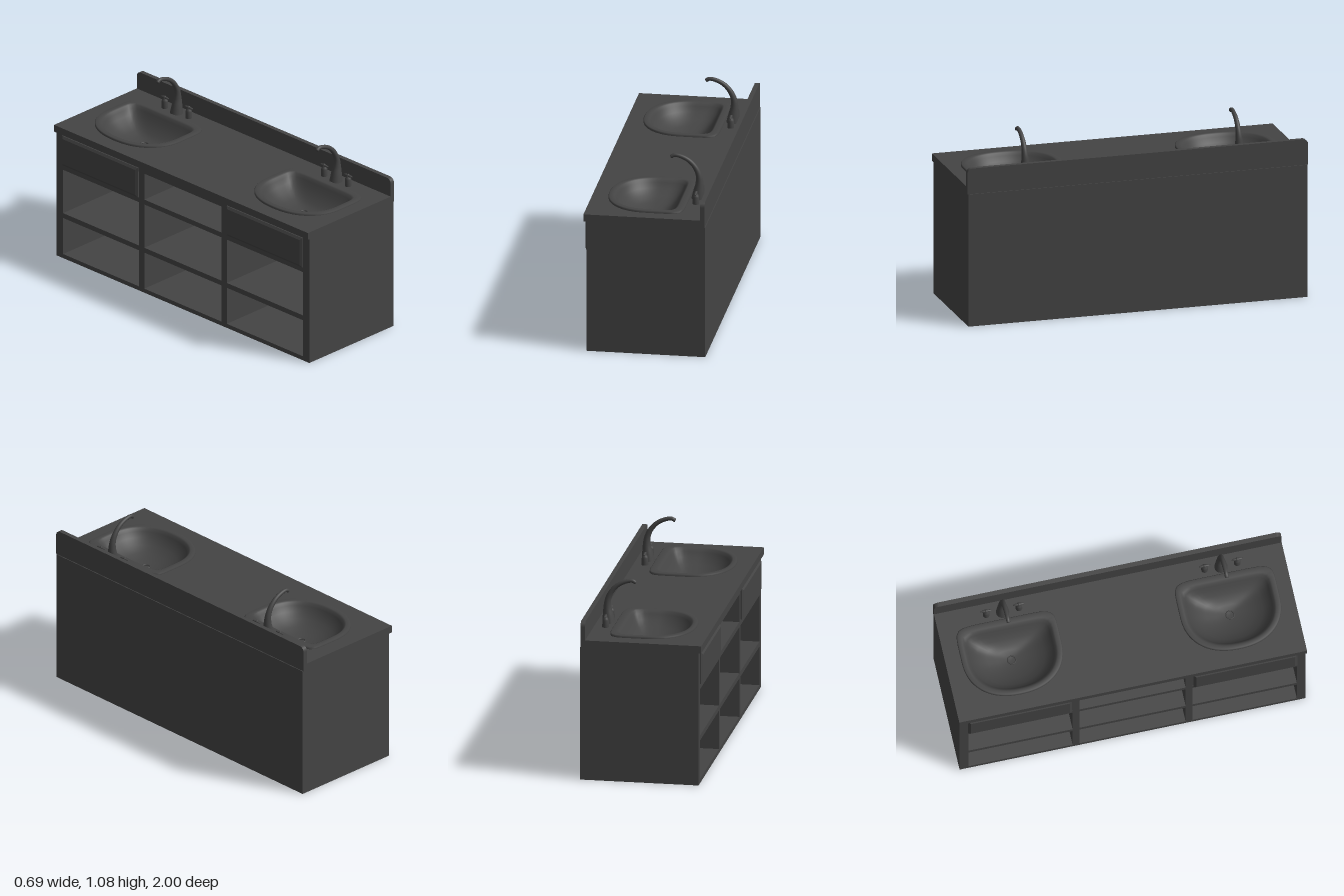
import * as THREE from 'three';

const material = new THREE.MeshStandardMaterial({ color: 0x444444 });
const thinMaterial = new THREE.MeshStandardMaterial({ color: 0x444444, side: THREE.DoubleSide });

function add(parent, name, geometry, mat = material) {
  const mesh = new THREE.Mesh(geometry, mat);
  mesh.name = name;
  parent.add(mesh);
  return mesh;
}

// Box given by its limits on each axis
function addBox(parent, name, x0, x1, y0, y1, z0, z1) {
  const mesh = add(parent, name, new THREE.BoxGeometry(x1 - x0, y1 - y0, z1 - z0));
  mesh.position.set((x0 + x1) / 2, (y0 + y1) / 2, (z0 + z1) / 2);
}

// Smooth skin through rings of equal point count
function loft(rings) {
  const n = rings[0].length;
  const index = [];
  for (let i = 0; i < rings.length - 1; i++) {
    for (let j = 0; j < n; j++) {
      const k = (j + 1) % n, a = i * n, b = a + n;
      index.push(a + j, a + k, b + k, a + j, b + k, b + j);
    }
  }
  const geometry = new THREE.BufferGeometry().setFromPoints(rings.flat());
  geometry.setIndex(index);
  geometry.computeVertexNormals();
  return geometry;
}

// D-shaped outline: rounded towards -x, nearly square towards +x
function dOutline(front, back, half, y, square = 1, count = 72) {
  return Array.from({ length: count }, (_, i) => {
    const t = (i / count) * Math.PI * 2, c = Math.cos(t), s = Math.sin(t);
    const n = c > 0 ? 2 + 6 * square : 2 + 0.25 * square;
    const a = c > 0 ? back : front;
    const r = (Math.abs(c / a) ** n + Math.abs(s / half) ** n) ** (-1 / n);
    return new THREE.Vector3(r * c, y, -r * s);
  });
}

function makeCabinet() {
  const g = new THREE.Group();
  g.name = 'cabinet';
  const F = -0.33, B = 0.346, E = 0.995;
  addBox(g, 'backPanel', 0.325, B, 0, 0.775, -E, E);
  addBox(g, 'bottomPanel', F, B, 0, 0.025, -E, E);
  addBox(g, 'topRail', F, F + 0.03, 0.742, 0.775, -E, E);
  addBox(g, 'lowerShelf', F, B - 0.01, 0.25, 0.28, -E + 0.01, E - 0.01);
  addBox(g, 'upperShelf', F, B - 0.01, 0.55, 0.58, -E + 0.01, E - 0.01);
  for (const s of [-1, 1]) {
    const wall = (name, z, w) => addBox(g, name, F, B, 0, 0.775, s * z - w / 2, s * z + w / 2);
    wall('sidePanel', E - 0.025, 0.05);
    wall('divider', 0.325, 0.04);

    // Drawer with a chamfered front
    addBox(g, 'drawerBacking', F + 0.002, F + 0.03, 0.57, 0.75, s * 0.65 - 0.32, s * 0.65 + 0.32);
    const w = 0.284, shape = new THREE.Shape([
      new THREE.Vector2(-w, 0.595), new THREE.Vector2(w, 0.595),
      new THREE.Vector2(w, 0.75), new THREE.Vector2(-w, 0.75)]);
    const front = new THREE.ExtrudeGeometry(shape, {
      depth: 0.008, bevelThickness: 0.009, bevelSize: 0.014, bevelSegments: 1 });
    front.rotateY(-Math.PI / 2);
    add(g, 'drawerFront', front).position.set(F + 0.002, 0, s * 0.648);
  }
  return g;
}

function makeCountertop(sinkZ) {
  const g = new THREE.Group();
  g.name = 'countertop';
  const slab = new THREE.Shape([
    new THREE.Vector2(-0.346, -1), new THREE.Vector2(0.341, -1),
    new THREE.Vector2(0.341, 1), new THREE.Vector2(-0.346, 1)]);
  for (const z of sinkZ) {
    const hole = dOutline(0.24, 0.185, 0.272, 0).map(p => new THREE.Vector2(p.x, p.z + z));
    slab.holes.push(new THREE.Path(hole));
  }
  const top = new THREE.ExtrudeGeometry(slab, { depth: 0.042, bevelEnabled: false });
  top.rotateX(Math.PI / 2);
  add(g, 'counterSlab', top).position.y = 0.817;

  // Backsplash with rounded upper corners
  const r = 0.03, h = 0.925, s = new THREE.Shape();
  s.moveTo(-1, 0.777).lineTo(1, 0.777).lineTo(1, h - r);
  s.absarc(1 - r, h - r, r, 0, Math.PI / 2);
  s.absarc(-1 + r, h - r, r, Math.PI / 2, Math.PI);
  const splash = new THREE.ExtrudeGeometry(s, { depth: 0.026, bevelEnabled: false });
  splash.rotateY(-Math.PI / 2);
  add(g, 'backsplash', splash).position.x = 0.343;
  return g;
}

function makeSink() {
  const g = new THREE.Group();
  g.name = 'sink';
  // front reach, back reach, half width, height, squareness
  const rings = [
    [0.255, 0.204, 0.287, 0.816, 1], [0.255, 0.204, 0.287, 0.825, 1],
    [0.25, 0.199, 0.282, 0.83, 1], [0.23, 0.168, 0.26, 0.83, 1],
    [0.22, 0.158, 0.25, 0.825, 1], [0.21, 0.148, 0.238, 0.808, 1],
    [0.195, 0.132, 0.22, 0.78, 0.9], [0.165, 0.108, 0.185, 0.75, 0.7],
    [0.12, 0.08, 0.135, 0.725, 0.5], [0.07, 0.055, 0.08, 0.71, 0.2],
    [0.025, 0.025, 0.025, 0.704, 0], [0.0005, 0.0005, 0.0005, 0.703, 0]];
  add(g, 'basin', loft(rings.map(r => dOutline(...r))), thinMaterial);
  const ring = add(g, 'drainRing', new THREE.TorusGeometry(0.023, 0.004, 8, 32));
  ring.rotation.x = Math.PI / 2;
  ring.position.set(-0.004, 0.706, 0);
  return g;
}

function makeFaucet() {
  const g = new THREE.Group();
  g.name = 'faucet';
  // Spout: tapering round section swept along an arc; x, y, radius
  const path = [
    [0.249, 0.815, 0.038], [0.253, 0.86, 0.031], [0.257, 0.905, 0.023],
    [0.254, 0.95, 0.018], [0.236, 0.995, 0.015], [0.2, 1.036, 0.013],
    [0.155, 1.06, 0.012], [0.115, 1.067, 0.011], [0.097, 1.058, 0.011]];
  const curve = new THREE.CatmullRomCurve3(path.map(p => new THREE.Vector3(...p)));
  const steps = 40, sides = 20, rings = [];
  const section = (p, t, r) => Array.from({ length: sides }, (_, j) => {
    const a = (j / sides) * Math.PI * 2;
    return new THREE.Vector3(p.x - t.y * r * Math.cos(a), p.y + t.x * r * Math.cos(a), r * Math.sin(a));
  });
  for (let i = 0; i <= steps; i++) {
    const p = curve.getPoint(i / steps), t = curve.getTangent(i / steps).setZ(0).normalize();
    rings.push(section(p, t, p.z));
    if (i === steps) {
      const tip = p.clone().addScaledVector(t, 0.004);
      rings.push(section(tip, t, p.z * 0.7), section(tip, t, 0.0002));
    }
  }
  add(g, 'spout', loft(rings));

  // Pair of handles with small levers
  const profile = [[0.019, 0.815], [0.019, 0.83], [0.018, 0.858], [0.015, 0.868],
    [0.01, 0.874], [0.009, 0.884], [0.005, 0.889], [0, 0.89]].map(p => new THREE.Vector2(...p));
  for (const s of [-1, 1]) {
    const handle = add(g, 'handle', new THREE.LatheGeometry(profile, 20));
    handle.position.set(0.251, 0, s * 0.094);
    const lever = add(g, 'handleLever', new THREE.SphereGeometry(1, 16, 10));
    lever.scale.set(0.008, 0.007, 0.033);
    lever.position.set(0.251, 0.88, s * 0.094);
  }
  return g;
}

export function createModel() {
  const model = new THREE.Group();
  model.name = 'doubleVanity';
  const sinkZ = [-0.623, 0.633];
  model.add(makeCabinet(), makeCountertop(sinkZ));
  for (const z of sinkZ) {
    const sink = makeSink(), faucet = makeFaucet();
    sink.position.z = z;
    faucet.position.z = z + 0.003;
    model.add(sink, faucet);
  }
  return model;
}
